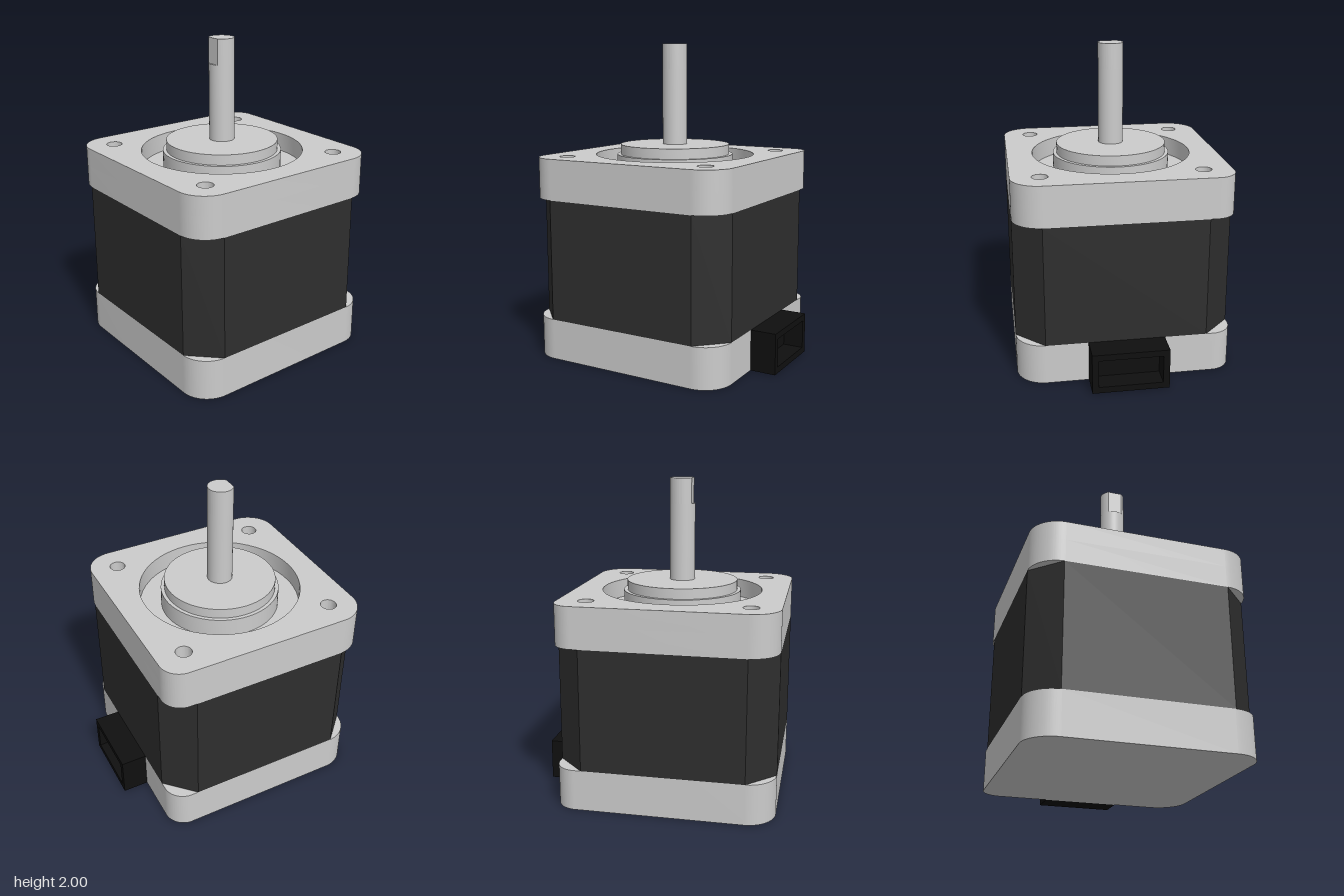
import * as THREE from 'three';
import { toCreasedNormals } from 'three/addons/utils/BufferGeometryUtils.js';

const HALF = 0.68;
const grey = new THREE.MeshStandardMaterial({ color: 0xcccccc });
const laminationBlack = new THREE.MeshStandardMaterial({ color: 0x2e2e2e });
const plasticBlack = new THREE.MeshStandardMaterial({ color: 0x0f0f0f });

// Square outline with rounded corners; the back right corner is a little tighter.
function plateShape() {
  const r = 0.18, t = 0.13, h = HALF, s = new THREE.Shape();
  s.moveTo(-h + r, -h);
  s.absarc(h - r, -h + r, r, -Math.PI / 2, 0);
  s.absarc(h - r, h - r, r, 0, Math.PI / 2);
  s.absarc(-h + t, h - t, t, Math.PI / 2, Math.PI);
  s.absarc(-h + r, -h + r, r, Math.PI, Math.PI * 1.5);
  return s;
}

function addHole(shape, x, y, r) {
  shape.holes.push(new THREE.Path().absarc(x, y, r, 0, Math.PI * 2, true));
}

function rectangle(path, x0, y0, x1, y1) {
  path.moveTo(x0, y0).lineTo(x1, y0).lineTo(x1, y1).lineTo(x0, y1).closePath();
  return path;
}

// Extrude a plan outline upward from y0 to y1 (outline y points to the back).
function extrudeUp(shape, y0, y1) {
  const g = new THREE.ExtrudeGeometry(shape, { depth: y1 - y0, bevelEnabled: false, curveSegments: 32 });
  g.rotateX(-Math.PI / 2).translate(0, y0, 0);
  return toCreasedNormals(g, 0.5);
}

export function createModel() {
  const model = new THREE.Group();
  model.name = 'stepperMotor';
  const motor = new THREE.Group();
  motor.name = 'motor';
  motor.position.z = 0.08;
  model.add(motor);

  const add = (name, geometry, material = grey) => {
    const mesh = new THREE.Mesh(geometry, material);
    mesh.name = name;
    motor.add(mesh);
    return mesh;
  };

  // End caps
  add('bottomCap', extrudeUp(plateShape(), 0, 0.26));
  add('topCapBase', extrudeUp(plateShape(), 1.03, 1.17));

  // Upper layer of the top cap with the round recess and four screw holes
  const face = plateShape();
  addHole(face, 0, 0, 0.515);
  for (const x of [-0.5, 0.5]) for (const y of [-0.5, 0.5]) addHole(face, x, y, 0.05);
  add('topCapFace', extrudeUp(face, 1.17, 1.29));

  // Chamfered laminated body
  const c = 0.505, h = HALF;
  const outline = [[c, -h], [h, -c], [h, c], [c, h], [-c, h], [-h, c], [-h, -c], [-c, -h]];
  const bodyShape = new THREE.Shape(outline.map(([x, y]) => new THREE.Vector2(x, y)));
  add('body', extrudeUp(bodyShape, 0.26, 1.03), laminationBlack);

  // Stepped pilot boss
  const profile = [[0.378, 1.17], [0.378, 1.29], [0.355, 1.29], [0.355, 1.355], [0, 1.355]];
  const boss = new THREE.LatheGeometry(profile.map(([x, y]) => new THREE.Vector2(x, y)), 64);
  add('pilotBoss', toCreasedNormals(boss, 0.5));

  // Shaft with a flat on the front of its tip
  const R = 0.08, a = Math.asin(0.065 / R);
  add('shaft', new THREE.CylinderGeometry(R, R, 0.49, 48).translate(0, 1.595, 0));
  const dShape = new THREE.Shape().absarc(0, 0, R, -a, Math.PI + a, false);
  add('shaftTip', extrudeUp(dShape, 1.84, 2));

  // Connector socket, open to the back
  const rim = rectangle(new THREE.Shape(), -0.24, 0, 0.24, 0.26);
  rim.holes.push(rectangle(new THREE.Path(), -0.2, 0.04, 0.2, 0.22));
  const socket = new THREE.ExtrudeGeometry(rim, { depth: 0.165, bevelEnabled: false });
  add('connectorShell', socket.translate(0, 0, -HALF - 0.165), plasticBlack);
  add('connectorFloor', new THREE.BoxGeometry(0.42, 0.2, 0.035).translate(0, 0.13, -HALF - 0.0175), plasticBlack);

  return model;
}
